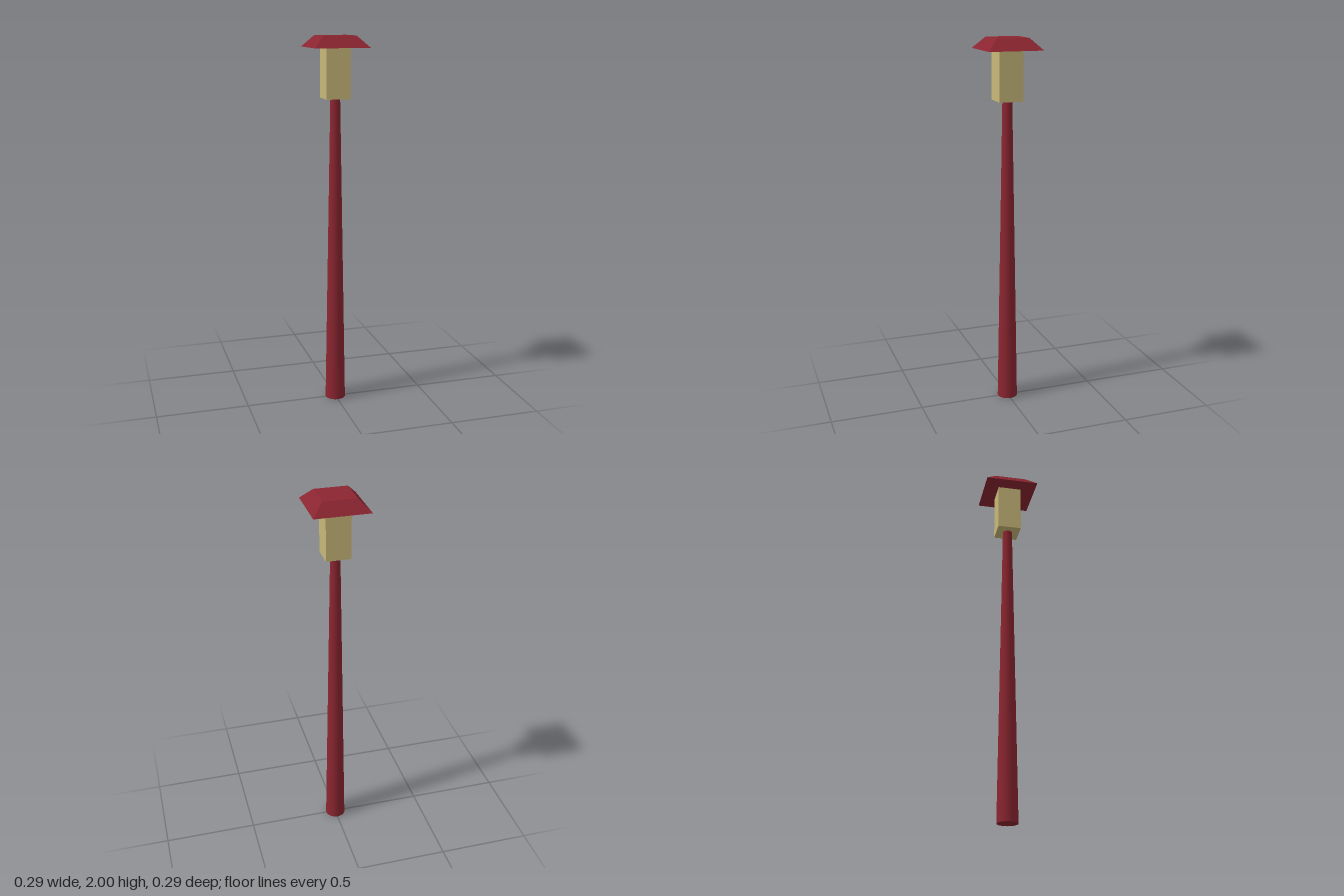
import * as THREE from 'three';

const red = new THREE.MeshStandardMaterial({ color: 0x8b2530 });
const redFlat = new THREE.MeshStandardMaterial({ color: 0x8b2530, flatShading: true });
const cream = new THREE.MeshStandardMaterial({ color: 0xc8b878 });

export function createModel() {
  const group = new THREE.Group();
  const add = (name, geometry, material, bottom, height) => {
    const mesh = new THREE.Mesh(geometry, material);
    mesh.name = name;
    mesh.position.y = bottom + height / 2;
    group.add(mesh);
  };

  const poleTop = 1.677, roofBottom = 1.94, top = 2;
  const lampHeight = roofBottom - poleTop, roofHeight = top - roofBottom;

  // Tapered round pole
  add('pole', new THREE.CylinderGeometry(0.026, 0.055, poleTop, 32), red, 0, poleTop);

  // Square lamp box
  add('lampBox', new THREE.BoxGeometry(0.13, lampHeight, 0.13), cream, poleTop, lampHeight);

  // Truncated pyramid roof, turned so its sides face the axes
  const roof = new THREE.CylinderGeometry(0.088 * Math.SQRT2, 0.146 * Math.SQRT2, roofHeight, 4);
  roof.rotateY(Math.PI / 4);
  add('roof', roof, redFlat, roofBottom, roofHeight);

  return group;
}
